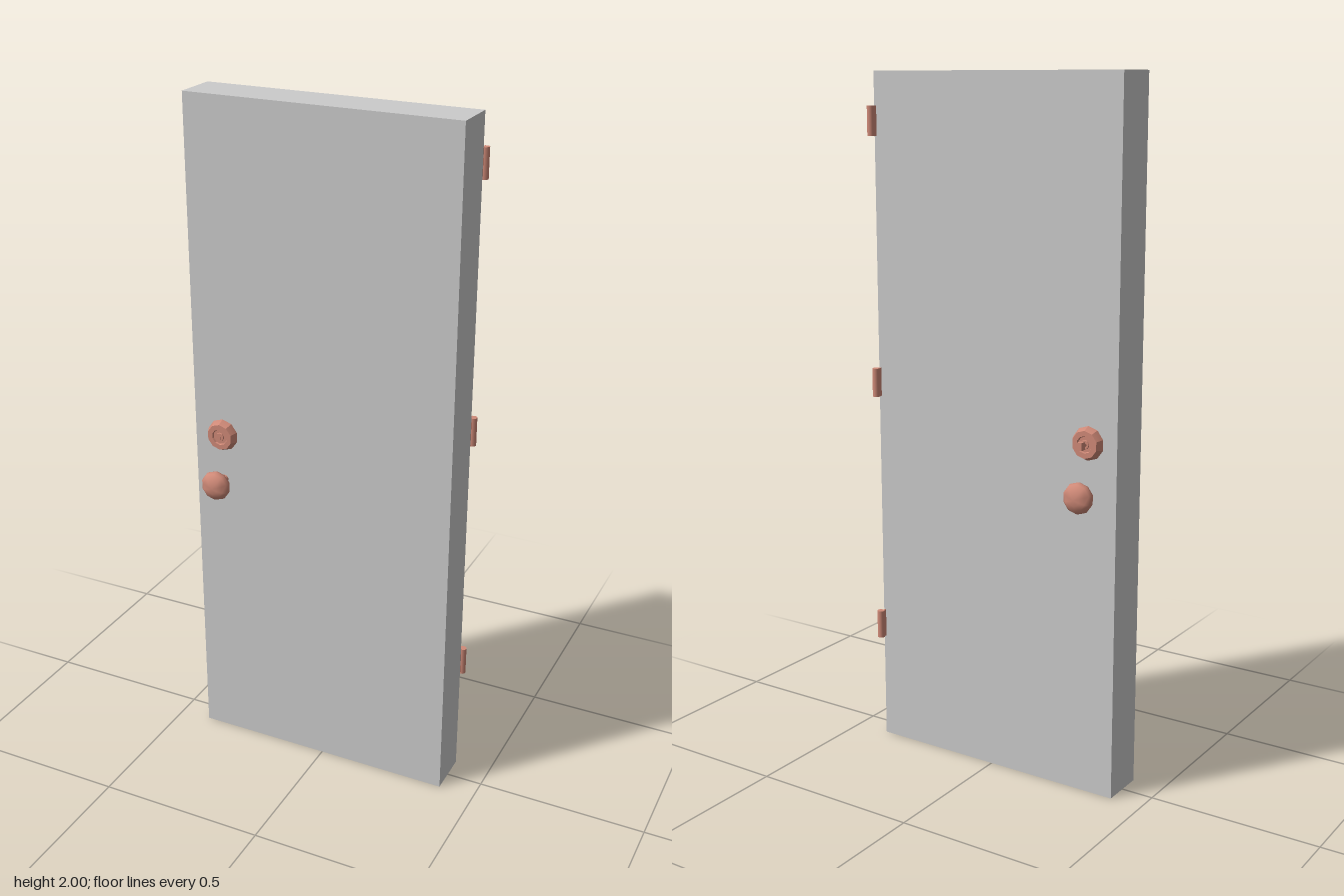
import * as THREE from 'three';
import { toCreasedNormals } from 'three/addons/utils/BufferGeometryUtils.js';

const FRONT = 0.066, BACK = -0.068, HANDLE_X = -0.316;

export function createModel() {
  const model = new THREE.Group();
  const grey = new THREE.MeshStandardMaterial({ color: 0xcccccc });
  const copper = new THREE.MeshStandardMaterial({ color: 0xd08a78 });

  const add = (parent, name, geometry, material, x = 0, y = 0, z = 0) => {
    const mesh = new THREE.Mesh(geometry, material);
    mesh.name = name;
    mesh.position.set(x, y, z);
    parent.add(mesh);
    return mesh;
  };

  // Turned part: pairs of [radius, distance from the door face], axis along +z
  const turned = (pairs, sides, crease) => {
    const g = new THREE.LatheGeometry(pairs.map(p => new THREE.Vector2(...p)), sides);
    g.rotateX(Math.PI / 2);
    return toCreasedNormals(g, crease);
  };

  // Door slab
  add(model, 'doorPanel', new THREE.BoxGeometry(0.798, 2, FRONT - BACK), grey, -0.006, 1, (FRONT + BACK) / 2);

  // Knob: slim stem and flattened ball
  const stem = turned([[0.013, -0.002], [0.013, 0.03]], 10, 0.9);
  const ballProfile = [];
  for (let i = 0; i <= 8; i++) {
    const a = -Math.PI / 2 + (i / 8) * Math.PI;
    ballProfile.push([Math.max(0, 0.045 * Math.cos(a)), 0.051 + 0.027 * Math.sin(a)]);
  }
  const ball = turned(ballProfile, 10, 1.2);

  // Lock: tapered rose with a stepped, recessed face
  const rose = turned([
    [0.048, -0.002], [0.048, 0.002], [0.039, 0.022], [0.024, 0.022],
    [0.022, 0.017], [0.013, 0.017], [0.012, 0.020], [0, 0.020],
  ], 10, 0.5);

  for (const [side, z, turn] of [['front', FRONT, 0], ['back', BACK, Math.PI]]) {
    const knob = new THREE.Group();
    knob.name = side + 'Knob';
    knob.position.set(HANDLE_X, 0.88, z);
    knob.rotation.y = turn;
    add(knob, 'knobStem', stem, copper);
    add(knob, 'knobBall', ball, copper);

    const lock = new THREE.Group();
    lock.name = side + 'Lock';
    lock.position.set(HANDLE_X, 1.022, z);
    lock.rotation.y = turn;
    add(lock, 'lockRose', rose, copper);
    if (side === 'front') {
      add(lock, 'keySlot', new THREE.BoxGeometry(0.004, 0.018, 0.002), copper, 0, 0, 0.0205);
    } else {
      // Thumb turn on a short shaft
      add(lock, 'thumbTurnShaft', turned([[0.006, 0.015], [0.006, 0.035]], 8, 0.9), copper);
      add(lock, 'thumbTurn', new THREE.BoxGeometry(0.014, 0.022, 0.018), copper, 0, 0, 0.039);
    }
    model.add(knob, lock);
  }

  // Hinges: barrel with a small leaf reaching the slab's back edge
  for (const y of [0.363, 1.113, 1.863]) {
    const hinge = new THREE.Group();
    hinge.name = 'hinge';
    hinge.position.set(0.393, y, -0.084);
    add(hinge, 'hingeBarrel', new THREE.CylinderGeometry(0.011, 0.011, 0.084, 12), copper);
    add(hinge, 'hingeLeaf', new THREE.BoxGeometry(0.006, 0.084, 0.018), copper, -0.004, 0, 0.009);
    model.add(hinge);
  }
  return model;
}
